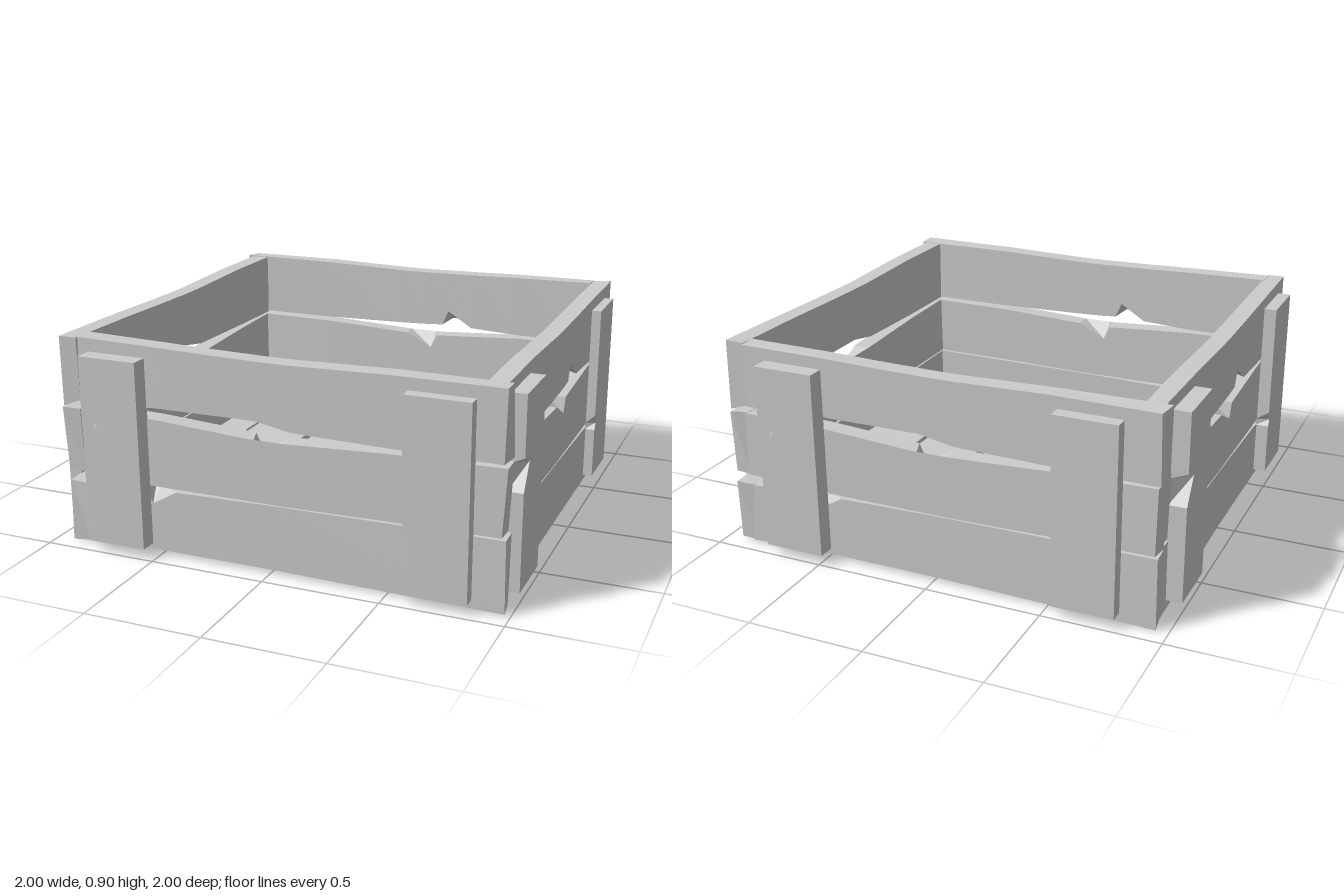
import * as THREE from 'three';

const wood = new THREE.MeshStandardMaterial({ color: 0xcccccc, flatShading: true });

// Small seeded generator, for the ragged board ends
let seed = 7;
const ragged = (s) => {
  seed = (seed * 16807) % 2147483647;
  return (seed / 2147483647 - 0.5) * 2 * s;
};

// Board along x, width along y, thickness z from w0 to w1.
// Stations: [x, low, high] or [x, low0, high0, low1, high1] for edges at w0 and w1.
function board(name, stations, w0, w1, rough = 0) {
  const pos = [];
  const last = stations.length - 1;
  const rings = stations.map(([u, a0, b0, a1 = a0, b1 = b0], i) => {
    const r = i === 0 || i === last ? rough : 0;
    return [[a0, w0], [b0, w0], [b1, w1], [a1, w1]].map(
      ([v, w]) => [u + ragged(r), v + ragged(r * 0.3), w + ragged(r * 0.3)]);
  });
  const quad = (a, b, c, d) => pos.push(...a, ...b, ...c, ...a, ...c, ...d);
  for (let i = 0; i < last; i++) {
    const p = rings[i], q = rings[i + 1];
    for (let k = 0; k < 4; k++) {
      const n = (k + 1) % 4;
      quad(p[k], p[n], q[n], q[k]);
    }
  }
  const s = rings[0], e = rings[last];
  quad(s[3], s[2], s[1], s[0]);
  quad(e[0], e[1], e[2], e[3]);
  const g = new THREE.BufferGeometry();
  g.setAttribute('position', new THREE.Float32BufferAttribute(pos, 3));
  g.computeVertexNormals();
  const mesh = new THREE.Mesh(g, wood);
  mesh.name = name;
  return mesh;
}

// Three warped, chipped boards between x = x0 and x = x1
function wallBoards(name, x0, x1, w0, w1) {
  const group = new THREE.Group();
  group.name = name;
  group.add(
    board('bottomBoard', [
      [x0, 0.01, 0.31], [0, 0.025, 0.302], [0.42, 0.025, 0.293],
      [0.53, 0.025, 0.23, 0.025, 0.29], [0.56, 0.025, 0.287], [x1, 0.01, 0.275],
    ], w0, w1, 0.012),
    board('middleBoard', [
      [x0, 0.32, 0.597], [-0.5, 0.315, 0.59], [-0.07, 0.307, 0.57],
      [0.06, 0.307, 0.57, 0.307, 0.505], [0.09, 0.307, 0.57],
      [0.5, 0.307, 0.595], [x1, 0.325, 0.6],
    ], w0, w1, 0.012),
    board('topBoard', [
      [x0, 0.61, 0.9], [-0.5, 0.612, 0.9], [-0.1, 0.62, 0.89], [0.05, 0.648, 0.89, 0.625, 0.89],
      [0.12, 0.648, 0.892, 0.63, 0.892], [0.15, 0.648, 0.892, 0.7, 0.892],
      [0.27, 0.647, 0.894, 0.625, 0.894], [0.5, 0.645, 0.9, 0.613, 0.9],
      [x1, 0.635, 0.905, 0.61, 0.905],
    ], w0, w1, 0.012),
  );
  return group;
}

// Upright batten with a chip in its left edge
function batten(name, x0, x1, z0, z1, big) {
  const chip = big
    ? [[0.46, 0], [0.57, 0.07], [0.6, 0]]
    : [[0.28, 0], [0.31, 0.018], [0.35, 0]];
  const stations = [[0.05, 0], ...chip, [0.85, 0]].map(
    ([y, d]) => [y, -x1, -x0, -x1, -x0 - d]);
  const mesh = board(name, stations, z0, z1);
  mesh.rotation.z = Math.PI / 2;
  return mesh;
}

export function createModel() {
  const crate = new THREE.Group();
  crate.name = 'crate';

  // Each wall covers one neighbour's end and butts against the other.
  // Front and back walls have their chipped face inward, side walls outward.
  const walls = [
    ['frontWall', Math.PI, -0.965, 0.855, -0.92, -0.835],
    ['backWall', 0, -0.945, 0.86, -0.925, -0.845],
    ['leftWall', Math.PI / 2, -0.832, 0.92, 0.86, 0.938],
    ['rightWall', -Math.PI / 2, -0.842, 0.925, 0.85, 0.93],
  ];
  for (const [name, turn, ...size] of walls) {
    const wall = wallBoards(name, ...size);
    wall.rotation.y = turn;
    crate.add(wall);
  }

  // Two battens outside each wall: [x0, x1, z0, z1] as seen facing that wall
  const battens = [
    ['front', 0, [-0.8, -0.54, 0.915, 0.995], [0.58, 0.845, 0.915, 0.975]],
    ['back', Math.PI, [-0.75, -0.485, 0.925, 1], [0.535, 0.8, 0.925, 0.985]],
    ['left', Math.PI / 2, [-0.8, -0.535, 0.935, 1], [0.535, 0.8, 0.935, 0.98]],
    ['right', -Math.PI / 2, [-0.76, -0.495, 0.925, 1], [0.575, 0.84, 0.925, 0.985]],
  ];
  for (const [side, turn, a, b] of battens) {
    const pair = new THREE.Group();
    pair.name = side + 'Battens';
    pair.rotation.y = turn;
    pair.add(batten('chippedBatten', ...a, true), batten('plainBatten', ...b, false));
    crate.add(pair);
  }

  // Floor slats: x limits at the back and front, then an optional chip [z0, tip z, z1, tip x]
  const slats = [
    [-0.855, -0.695, -0.855, -0.715],
    [-0.68, -0.39, -0.7, -0.405, [-0.07, 0.24, 0.37, -0.47]],
    [-0.36, -0.09, -0.36, -0.062],
    [-0.085, 0.215, -0.058, 0.235, [-0.36, -0.24, -0.04, 0.155]],
    [0.27, 0.575, 0.26, 0.54],
    [0.595, 0.865, 0.565, 0.865, [0.19, 0.22, 0.32, 0.805]],
  ];
  const floor = new THREE.Group();
  floor.name = 'floor';
  // Turn board axes: length to z, width to x, thickness to y
  const lay = new THREE.Matrix4().makeBasis(
    new THREE.Vector3(0, 0, 1), new THREE.Vector3(1, 0, 0), new THREE.Vector3(0, 1, 0));
  for (const [a0, b0, a1, b1, chip] of slats) {
    const at = (z) => {
      const t = (z + 0.85) / 1.69;
      return [z, a0 + (a1 - a0) * t, b0 + (b1 - b0) * t];
    };
    const stations = [at(-0.85)];
    if (chip) {
      const [z0, zt, z1, xt] = chip;
      const tip = at(zt);
      stations.push(at(z0), [...tip, tip[1], xt], at(z1));
    }
    stations.push(at(0.84));
    const slat = board('floorSlat', stations, 0.07, 0.15);
    slat.geometry.applyMatrix4(lay);
    floor.add(slat);
  }
  crate.add(floor);
  return crate;
}
